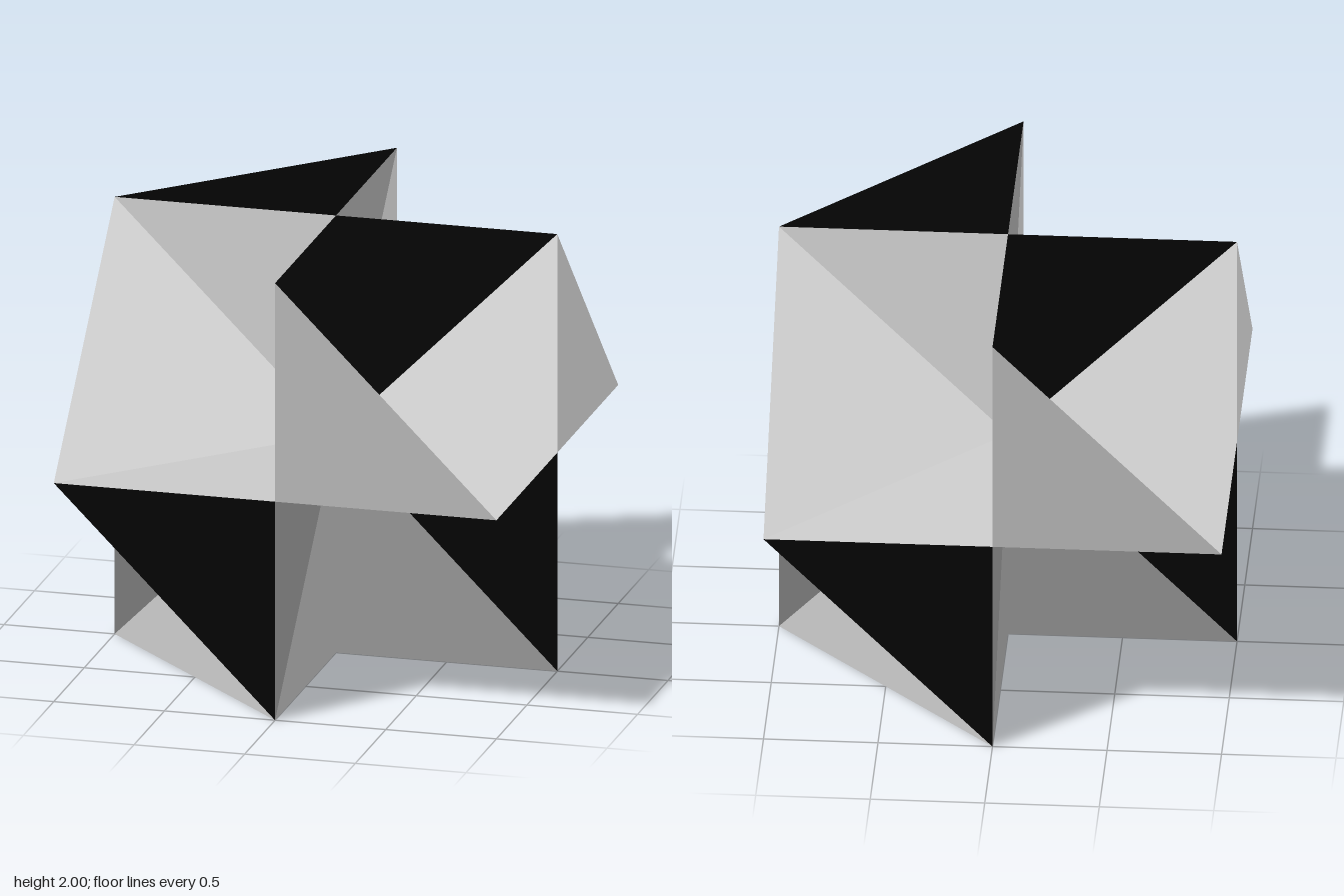
import * as THREE from 'three';

// One folded four-sided facet: face centre, two edge midpoints and the core.
// A ridge fold runs between the midpoints; a valley fold runs from centre to core.
// Both halves share one averaged normal, so the facet shades as a single plane.
function foldedFacet(centre, midA, midB, ridge) {
  const core = new THREE.Vector3(0, 0, 0);
  const points = ridge
    ? [centre, midA, midB, core, midB, midA]
    : [centre, midA, core, centre, core, midB];
  const normal = midA.clone().add(midB).addScaledVector(centre, -2).normalize();
  const normals = points.flatMap(() => normal.toArray());
  const geometry = new THREE.BufferGeometry().setFromPoints(points);
  geometry.setAttribute('normal', new THREE.Float32BufferAttribute(normals, 3));
  return geometry;
}

// The four facets around one face of the enclosing cube
function makeSide(axis, sign, grey, black) {
  const side = new THREE.Group();
  const i = (axis + 1) % 3, j = (axis + 2) % 3;
  const centre = new THREE.Vector3().setComponent(axis, sign);
  for (const si of [-1, 1]) {
    for (const sj of [-1, 1]) {
      const a = centre.clone().setComponent(i, si);
      const b = centre.clone().setComponent(j, sj);
      const octant = sign * si * sj;
      // ridges alternate around each face, with the x faces the other way round
      const ridge = axis === 0 ? octant < 0 : octant > 0;
      // black ridges: all on the top face, and the lower one on each upright face
      const up = a.y + b.y;
      const dark = ridge && (axis === 1 ? up > 0 : up < 0);
      // keep the corner order facing outwards
      const [m, n] = octant > 0 ? [a, b] : [b, a];
      const facet = new THREE.Mesh(foldedFacet(centre, m, n, ridge), dark ? black : grey);
      facet.name = ridge ? 'ridgeFacet' : 'valleyFacet';
      side.add(facet);
    }
  }
  return side;
}

export function createModel() {
  const group = new THREE.Group();
  group.name = 'foldedPolyhedron';
  const grey = new THREE.MeshStandardMaterial({ color: 0xcccccc, side: THREE.DoubleSide });
  const black = new THREE.MeshStandardMaterial({ color: 0x0a0a0a, side: THREE.DoubleSide });
  const names = [['rightSide', 'leftSide'], ['bottomSide', 'topSide'], ['backSide', 'frontSide']];
  names.forEach((pair, axis) => pair.forEach((name, k) => {
    const side = makeSide(axis, k ? 1 : -1, grey, black);
    side.name = name;
    side.position.y = 1;
    group.add(side);
  }));
  return group;
}
